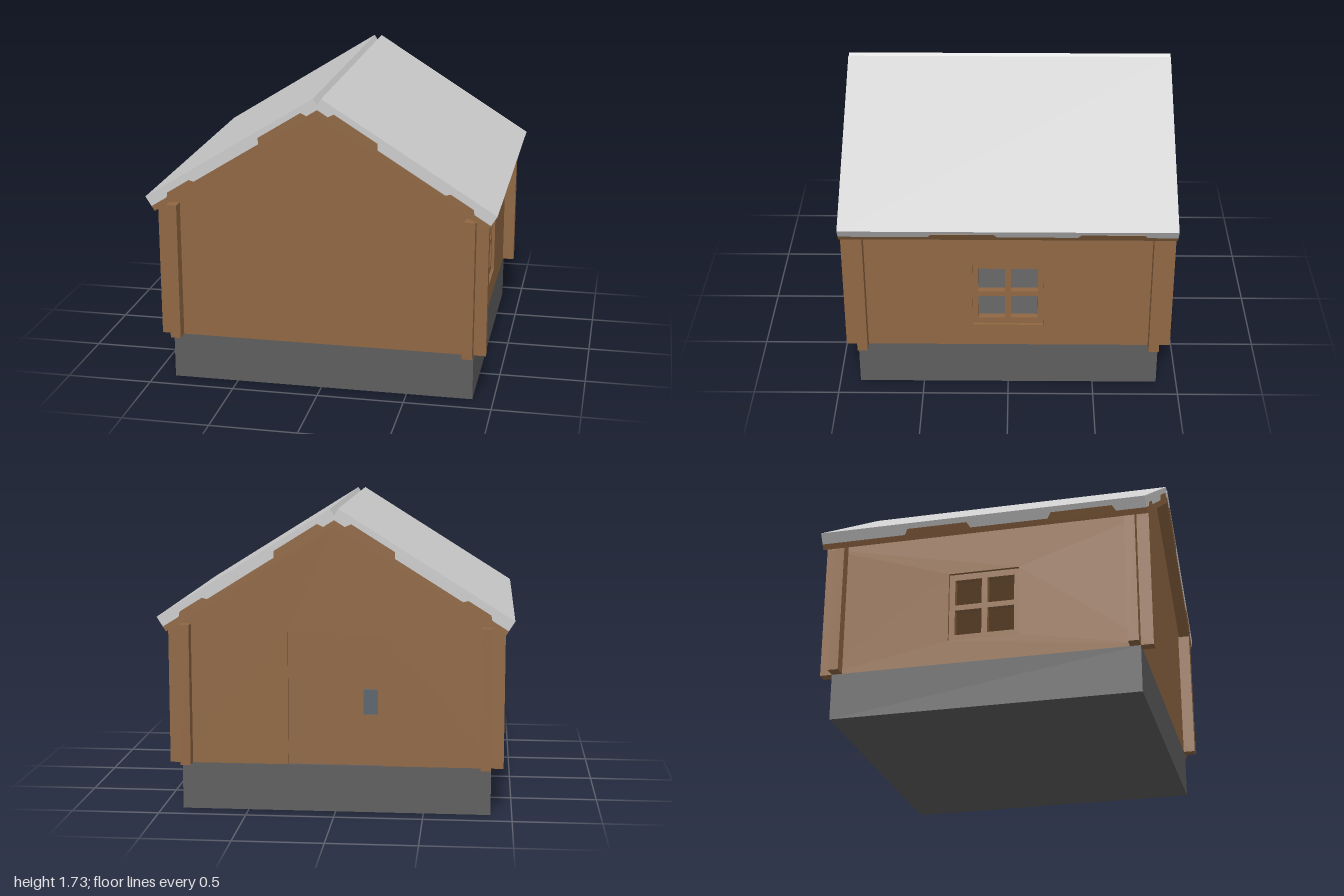
import * as THREE from 'three';

const mat = (name, color) => {
  const m = new THREE.MeshStandardMaterial({ color });
  m.name = name;
  return m;
};

const shapeOf = (pts) => new THREE.Shape(pts.map(([x, y]) => new THREE.Vector2(x, y)));
const rect = (x0, x1, y0, y1) => [[x0, y0], [x1, y0], [x1, y1], [x0, y1]];

// Extrude a profile along z, centred on z = 0
function slab(pts, depth, holes = []) {
  const shape = shapeOf(pts);
  holes.forEach((h) => shape.holes.push(shapeOf(h)));
  return new THREE.ExtrudeGeometry(shape, { depth, bevelEnabled: false }).translate(0, 0, -depth / 2);
}

export function createModel() {
  const wood = mat('wood', 0x906743);
  const roofGrey = mat('roofGrey', 0xcccccc);
  const stone = mat('stone', 0x5e5e5e);
  const metal = mat('handleMetal', 0x5b656d);

  const model = new THREE.Group();
  model.name = 'cabin';
  const add = (parent, name, geo, material, x = 0, y = 0, z = 0) => {
    const mesh = new THREE.Mesh(geo, material);
    mesh.name = name;
    mesh.position.set(x, y, z);
    parent.add(mesh);
    return mesh;
  };

  const floorY = 0.27, eaveY = 1.036, ridgeY = 1.63, pitch = 0.559;
  const wallMid = 0.85, wallThick = 0.06;

  // Foundation
  add(model, 'foundation', new THREE.BoxGeometry(1.76, floorY, 1.76), stone, 0, floorY / 2, 0);

  // Gable walls, running past the corners; the back one has a door opening
  const gableTop = [[0.95, floorY], [0.95, eaveY], [0, ridgeY], [-0.95, eaveY], [-0.95, floorY]];
  const doorNotch = [[-0.27, floorY], [-0.27, 1.03], [0.27, 1.03], [0.27, floorY]];
  add(model, 'frontWall', slab(gableTop, wallThick), wood, 0, 0, wallMid);
  add(model, 'backWall', slab([...gableTop, ...doorNotch], wallThick), wood, 0, 0, -wallMid);

  // Recessed door with its handle plate
  add(model, 'door', new THREE.BoxGeometry(0.54, 0.76, 0.04), wood, 0, 0.65, -0.842);
  add(model, 'doorHandle', new THREE.BoxGeometry(0.08, 0.14, 0.03), metal, -0.2, 0.64, -0.872);

  // Side walls with recessed four-pane windows
  const opening = rect(-0.205, 0.205, 0.41, 0.825);
  const panes = [];
  for (const [x0, x1] of [[-0.172, -0.017], [0.017, 0.172]])
    for (const [y0, y1] of [[0.448, 0.6], [0.632, 0.788]]) panes.push(rect(x0, x1, y0, y1));
  const sideWall = slab(rect(-0.95, 0.95, floorY, 1.075), wallThick, [opening]).rotateY(Math.PI / 2);
  const windowFrame = slab(opening, 0.04, panes).rotateY(Math.PI / 2);
  for (const [side, s] of [['left', 1], ['right', -1]]) {
    add(model, side + 'Wall', sideWall, wood, s * wallMid);
    add(model, side + 'WindowFrame', windowFrame, wood, s * 0.842);
  }

  // Roof halves, drawn along the slope (x) and across its thickness (y)
  const slopeEnd = 1.118, deckTop = 0.033, roofTop = 0.098, roofLength = 1.9;
  const deck = slab([[0, 0], [slopeEnd, 0], [slopeEnd, deckTop], [-0.021, deckTop]], roofLength);
  const cover = slab([[-0.021, deckTop], [slopeEnd, deckTop], [slopeEnd, roofTop],
    [-0.0345, roofTop], [-0.0345, 0.055]], roofLength);
  const tab = (a, b, top) => slab([[a, 0.02], [b, 0.02], [b, deckTop], [b - 0.02, top],
    [a + 0.02, top], [a, deckTop]], 0.004);

  for (const [side, turn] of [['left', 0], ['right', Math.PI]]) {
    const half = new THREE.Group();
    half.name = side + 'Roof';
    half.rotation.y = turn;
    const slope = new THREE.Group();
    slope.name = side + 'RoofSlope';
    slope.position.y = ridgeY;
    slope.rotation.z = -pitch;
    half.add(slope);
    model.add(half);

    add(slope, 'roofDeck', deck, wood);
    add(slope, 'roofCover', cover, roofGrey);

    // Raised wooden tabs along the gable ends and the eave
    for (const z of [-0.95, 0.95]) {
      add(slope, 'gableTab', tab(0.82, 1.01, 0.055), wood, 0, 0, z);
      add(slope, 'gableTab', tab(0.05, 0.375, 0.065), wood, 0, 0, z);
    }
    for (const [a, b] of [[-0.45, -0.06], [0.39, 0.78]])
      add(slope, 'eaveTab', tab(a, b, 0.066).rotateY(Math.PI / 2), wood, slopeEnd);
  }
  return model;
}
